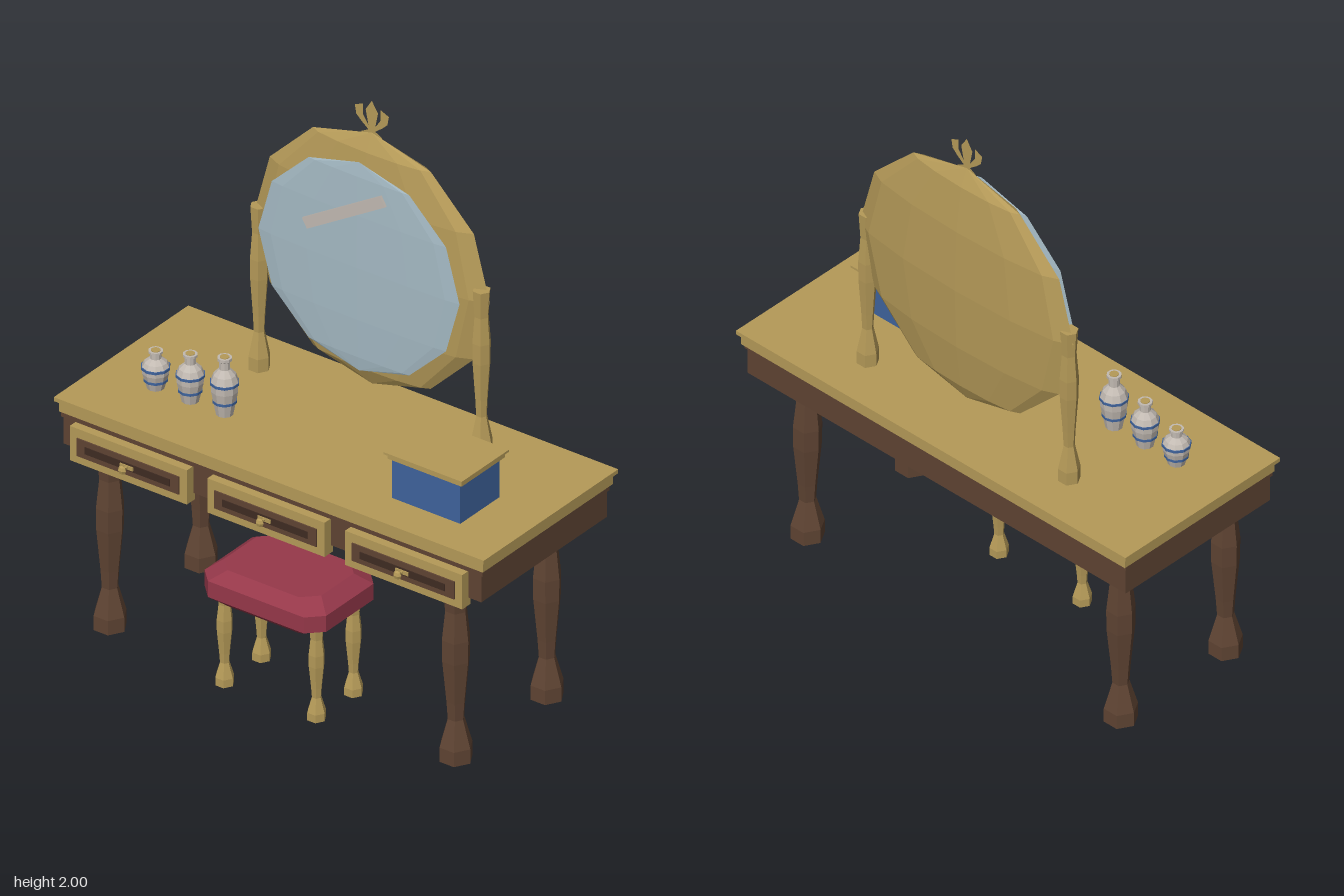
import * as THREE from 'three';

export function createModel() {
  const model = new THREE.Group();
  model.name = 'dressingTable';
  const mat = (name, color) => {
    const m = new THREE.MeshStandardMaterial({ color });
    m.name = name;
    return m;
  };
  const gold = mat('gold', 0xb59a58);
  const wood = mat('brownWood', 0x5f4433);
  const darkWood = mat('darkWood', 0x3f2b22);
  const red = mat('redCushion', 0x96384a);
  const blue = mat('blue', 0x3f639c);
  const glass = mat('mirrorGlass', 0xa5bac4);
  const cream = mat('cream', 0xc2bab2);
  const goldSheet = mat('goldSheet', 0xb59a58);
  goldSheet.side = THREE.DoubleSide;

  // Adds a faceted mesh
  function add(name, geo, material, x = 0, y = 0, z = 0, parent = model) {
    const flat = geo.index ? geo.toNonIndexed() : geo;
    flat.computeVertexNormals();
    const mesh = new THREE.Mesh(flat, material);
    mesh.name = name;
    mesh.position.set(x, y, z);
    parent.add(mesh);
    return mesh;
  }
  // Box given by its limits
  function box(name, material, x0, x1, y0, y1, z0, z1, parent) {
    return add(name, new THREE.BoxGeometry(x1 - x0, y1 - y0, z1 - z0), material,
      (x0 + x1) / 2, (y0 + y1) / 2, (z0 + z1) / 2, parent);
  }
  // Turned six-sided post: unit-height profile scaled to size
  const postProfile = [[0, 0], [1, 0], [1, 0.08], [0.5, 0.23], [0.58, 0.33], [0.84, 0.56],
    [0.86, 0.68], [0.66, 0.84], [0.82, 1], [0, 1]];
  function post(name, material, x, y, z, height, radius) {
    const pts = postProfile.map(([r, t]) => new THREE.Vector2(r * radius, t * height));
    const geo = new THREE.LatheGeometry(pts, 6);
    geo.rotateY(Math.PI / 6);
    return add(name, geo, material, x, y, z);
  }

  // Table top and apron
  box('tableTop', gold, -0.87, 0.87, 0.825, 0.84, -0.398, 0.33);
  box('tableTopMoulding', gold, -0.857, 0.857, 0.785, 0.825, -0.387, 0.318);
  box('apronMoulding', wood, -0.852, 0.852, 0.766, 0.785, -0.376, 0.314);
  box('apron', wood, -0.845, 0.845, 0.665, 0.766, -0.37, 0.31);

  // Table legs
  for (const sx of [-1, 1]) {
    for (const z of [0.253, -0.24]) post('tableLeg', wood, sx * 0.7, 0, z, 0.67, 0.058);
  }

  // Drawers with panel and knob
  for (const x of [-0.557, 0, 0.557]) {
    const drawer = new THREE.Group();
    drawer.name = 'drawer';
    drawer.position.x = x;
    model.add(drawer);
    box('drawerFrame', gold, -0.237, 0.237, 0.637, 0.766, 0.3, 0.345, drawer);
    box('drawerPanel', wood, -0.207, 0.207, 0.666, 0.732, 0.343, 0.35, drawer);
    box('drawerInset', darkWood, -0.172, 0.172, 0.686, 0.712, 0.348, 0.353, drawer);
    box('knobPlate', gold, -0.026, 0.026, 0.692, 0.706, 0.35, 0.357, drawer);
    const stem = add('knobStem', new THREE.CylinderGeometry(0.006, 0.006, 0.03, 6), gold, 0, 0.699, 0.365, drawer);
    stem.rotation.x = Math.PI / 2;
    add('knob', new THREE.SphereGeometry(0.016, 6, 4).scale(1, 1, 0.75), gold, 0, 0.699, 0.379, drawer);
  }

  // Stool cushion: octagonal rings, lower and upper ones drawn in
  const rings = [[0.325, 0.05], [0.36, 0], [0.42, 0], [0.46, 0.05]];
  const verts = [], faces = [];
  for (const [y, inset] of rings) {
    const w = 0.246 - inset, d = 0.18 - inset * 0.8, c = 0.052;
    for (const [x, z] of [[w, d - c], [w - c, d], [c - w, d], [-w, d - c],
      [-w, c - d], [c - w, -d], [w - c, -d], [w, c - d]]) verts.push(x, y, z);
  }
  for (let r = 0; r < 3; r++) {
    for (let i = 0; i < 8; i++) {
      const a = r * 8 + i, b = r * 8 + (i + 1) % 8;
      faces.push(a, a + 8, b, b, a + 8, b + 8);
    }
  }
  for (let i = 1; i < 7; i++) faces.push(0, i, i + 1, 24, 24 + i + 1, 24 + i);
  const cushion = new THREE.BufferGeometry();
  cushion.setAttribute('position', new THREE.Float32BufferAttribute(verts, 3));
  cushion.setIndex(faces);
  add('stoolCushion', cushion, red, 0, 0, 0.22);

  // Stool legs
  for (const sx of [-1, 1]) {
    for (const z of [0.32, 0.12]) post('stoolLeg', gold, sx * 0.186, 0, z, 0.36, 0.033);
  }

  // Mirror on two posts
  const mirrorZ = -0.228;
  for (const sx of [-1, 1]) post('mirrorPost', gold, sx * 0.45, 0.84, -0.22, 0.612, 0.038);
  add('mirrorFrame', new THREE.SphereGeometry(1, 12, 6).scale(0.477, 0.472, 0.057), gold, 0, 1.408, mirrorZ);
  add('mirrorGlass', new THREE.SphereGeometry(1, 12, 6).scale(0.407, 0.392, 0.013), glass, 0, 1.41, -0.158);
  const glint = add('mirrorGlint', new THREE.BoxGeometry(0.37, 0.04, 0.009), cream, -0.045, 1.607, -0.139);
  glint.rotation.z = 0.545;

  // Leaf finial, a flat mirrored outline
  const half = [[0, 2], [0.025, 1.96], [0.014, 1.905], [0.036, 1.938], [0.036, 1.977], [0.069, 1.963],
    [0.063, 1.93], [0.042, 1.91], [0.014, 1.888], [0.042, 1.872], [0.032, 1.858], [0.012, 1.872], [0, 1.835]];
  const outline = [...half, ...half.slice(1, -1).reverse().map(([x, y]) => [-x, y])];
  const finial = new THREE.ShapeGeometry(new THREE.Shape(outline.map(([x, y]) => new THREE.Vector2(x, y))));
  add('finial', finial, goldSheet, 0, 0, mirrorZ);

  // Jewellery box
  box('jewelleryBox', blue, 0.392, 0.668, 0.84, 0.995, -0.025, 0.187);
  box('boxLidRim', gold, 0.38, 0.68, 0.988, 1.004, -0.038, 0.196);
  box('boxLid', gold, 0.37, 0.686, 1.004, 1.012, -0.053, 0.203);

  // Perfume bottles with painted bands
  const bottleProfile = [[0.029, 0], [0.034, 0.12], [0.046, 0.42], [0.047, 0.58], [0.038, 0.7],
    [0.019, 0.8], [0.019, 0.93], [0.025, 0.95], [0.025, 1]];
  for (const [x, h] of [[-0.643, 0.14], [-0.503, 0.177], [-0.364, 0.213]]) {
    const bottle = new THREE.Group();
    bottle.name = 'bottle';
    bottle.position.set(x, 0.84, 0.082);
    model.add(bottle);
    const pts = [[0, 0], ...bottleProfile, [0, 1]].map(([r, t]) => new THREE.Vector2(r, t * h));
    add('bottleBody', new THREE.LatheGeometry(pts, 10), cream, 0, 0, 0, bottle);
    for (const [t, r] of [[0.24, 0.0415], [0.56, 0.0495]]) {
      add('bottleBand', new THREE.CylinderGeometry(r, r, 0.009, 10), blue, 0, t * h, 0, bottle);
    }
    add('bottleStopper', new THREE.CylinderGeometry(0.016, 0.016, 0.004, 10), gold, 0, h, 0, bottle);
  }
  return model;
}
